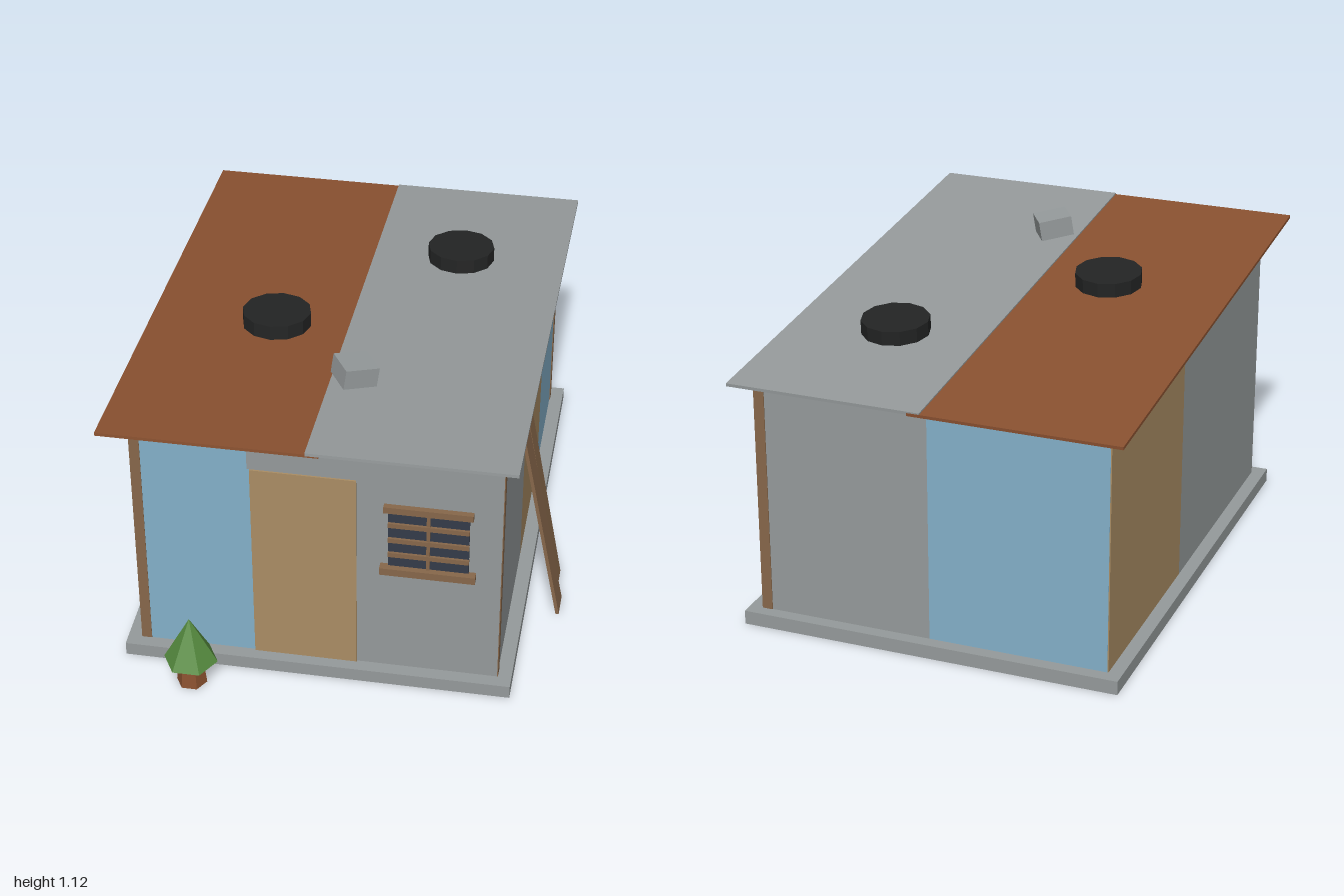
import * as THREE from 'three';

const mat = (name, color) => {
  const m = new THREE.MeshStandardMaterial({ color });
  m.name = name;
  return m;
};

export function createModel() {
  const model = new THREE.Group();
  model.name = 'shack';

  const grey = mat('concrete grey', 0x959a9b);
  const blue = mat('faded blue', 0x83b0c9);
  const tan = mat('plywood tan', 0xaa8d64);
  const wood = mat('timber brown', 0x87674a);
  const rust = mat('rust', 0x8a5130);
  const glass = mat('dark glass', 0x343b49);
  const rubber = mat('tyre black', 0x232424);
  const leaf = mat('leaf green', 0x568b3f);

  const slope = 0.0765; // the roof falls from front to back
  const roofMidZ = -0.0325;
  const roofTop = (z) => 0.991 + slope * (z - roofMidZ);

  const add = (name, geometry, material, parent = model) => {
    const mesh = new THREE.Mesh(geometry, material);
    mesh.name = name;
    parent.add(mesh);
    return mesh;
  };
  const box = (name, material, x0, x1, y0, y1, z0, z1, parent) => {
    const mesh = add(name, new THREE.BoxGeometry(x1 - x0, y1 - y0, z1 - z0), material, parent);
    mesh.position.set((x0 + x1) / 2, (y0 + y1) / 2, (z0 + z1) / 2);
    return mesh;
  };
  // Box whose top is cut to follow the underside of the roof
  const panel = (name, material, x0, x1, y0, z0, z1) => {
    const g = new THREE.BoxGeometry(x1 - x0, 1, z1 - z0);
    g.translate((x0 + x1) / 2, 0, (z0 + z1) / 2);
    const p = g.attributes.position;
    for (let i = 0; i < p.count; i++) {
      p.setY(i, p.getY(i) > 0 ? roofTop(p.getZ(i)) - 0.013 : y0);
    }
    g.computeVertexNormals();
    return add(name, g, material);
  };

  // Floor slab
  box('floorSlab', grey, -0.74, 0.625, 0, 0.05, -0.965, 0.822);

  // Front wall
  panel('frontBluePanel', blue, -0.655, -0.29, 0.05, 0.745, 0.775);
  box('frontBlueJamb', blue, -0.29, -0.28, 0.05, 0.85, 0.745, 0.775);
  panel('frontLintelPanel', grey, -0.29, 0.08, 0.85, 0.745, 0.775);
  panel('frontGreyPanel', grey, 0.08, 0.575, 0.05, 0.745, 0.775);
  box('door', tan, -0.281, 0.081, 0.05, 0.85, 0.745, 0.781);

  // Right wall
  panel('rightGreyPanel', grey, 0.545, 0.575, 0.05, 0.1, 0.735);
  panel('rightTanPanel', tan, 0.545, 0.575, 0.05, -0.455, 0.1);
  panel('rightBluePanel', blue, 0.545, 0.575, 0.05, -0.88, -0.455);

  // Back wall
  panel('backGreyPanel', grey, -0.05, 0.54, 0.05, -0.918, -0.888);
  panel('backBluePanel', blue, -0.688, -0.05, 0.05, -0.918, -0.888);

  // Left wall
  panel('leftTanPanel', tan, -0.692, -0.662, 0.05, -0.917, -0.155);
  panel('leftGreyPanel', grey, -0.692, -0.662, 0.05, -0.155, 0.773);

  // Corner posts
  panel('frontLeftPost', wood, -0.691, -0.655, 0.05, 0.74, 0.777);
  panel('frontRightPost', wood, 0.535, 0.578, 0.05, 0.735, 0.774);
  panel('backRightPost', wood, 0.54, 0.578, 0.05, -0.921, -0.88);

  // Two overlapping roof sheets
  const sheet = (name, material, x0, x1, drop) => {
    const t = 0.011;
    const mesh = add(name, new THREE.BoxGeometry(x1 - x0, t, 1.935 / Math.cos(slope)), material);
    mesh.position.set((x0 + x1) / 2, 0.991 - t / 2 - drop, roofMidZ);
    mesh.rotation.x = -Math.atan(slope);
  };
  sheet('rustyRoofSheet', rust, -0.757, -0.015, 0.005);
  sheet('greyRoofSheet', grey, -0.06, 0.636, 0);

  // Tyres lying on the roof
  for (const [x, z] of [[-0.312, 0.13], [0.257, -0.46]]) {
    const tyre = add('roofTyre', new THREE.CylinderGeometry(0.121, 0.121, 0.052, 12).toNonIndexed(), rubber);
    tyre.geometry.computeVertexNormals();
    tyre.position.set(x, roofTop(z) + 0.026, z);
    tyre.rotation.x = -Math.atan(slope);
  }

  // Loose block on the roof
  const block = add('roofBlock', new THREE.BoxGeometry(0.122, 0.072, 0.115), grey);
  block.position.set(0.025, 1.078, 0.47);
  block.rotation.set(0, 0.56, -0.16, 'YXZ');

  // Barred window
  const win = new THREE.Group();
  win.name = 'window';
  model.add(win);
  box('windowGlass', glass, 0.19, 0.465, 0.505, 0.74, 0.77, 0.784, win);
  box('windowSill', wood, 0.163, 0.49, 0.48, 0.508, 0.77, 0.806, win);
  box('windowHead', wood, 0.175, 0.478, 0.74, 0.765, 0.77, 0.796, win);
  box('verticalBar', wood, 0.321, 0.333, 0.508, 0.74, 0.78, 0.79, win);
  for (const y of [0.56, 0.622, 0.686]) {
    box('horizontalBar', wood, 0.19, 0.466, y - 0.009, y + 0.009, 0.78, 0.793, win);
  }

  // Planks leaning on the right wall
  const plank = (topX, topY, footX, z, width, skew) => {
    const dx = footX - topX, len = Math.hypot(dx, topY);
    const mesh = add('leaningPlank', new THREE.BoxGeometry(0.012, len, width), wood);
    mesh.position.set((topX + footX) / 2, topY / 2 + 0.004, z);
    mesh.rotation.set(skew, 0, Math.atan2(dx, topY));
  };
  plank(0.589, 0.79, 0.742, 0.311, 0.098, 0);
  plank(0.586, 0.752, 0.722, 0.161, 0.082, 0.013);

  // Small tree by the front
  const tree = new THREE.Group();
  tree.name = 'tree';
  tree.position.set(-0.48, 0, 0.915);
  model.add(tree);
  const hexagon = (name, r1, r0, y0, y1, material) => {
    const g = new THREE.CylinderGeometry(r1, r0, y1 - y0, 6).toNonIndexed();
    g.computeVertexNormals();
    const mesh = add(name, g, material, tree);
    mesh.position.y = (y0 + y1) / 2;
    mesh.rotation.y = Math.PI / 6;
  };
  hexagon('treeTrunk', 0.042, 0.054, 0, 0.11, rust);
  hexagon('treeCrown', 0, 0.095, 0.1, 0.28, leaf);

  return model;
}
